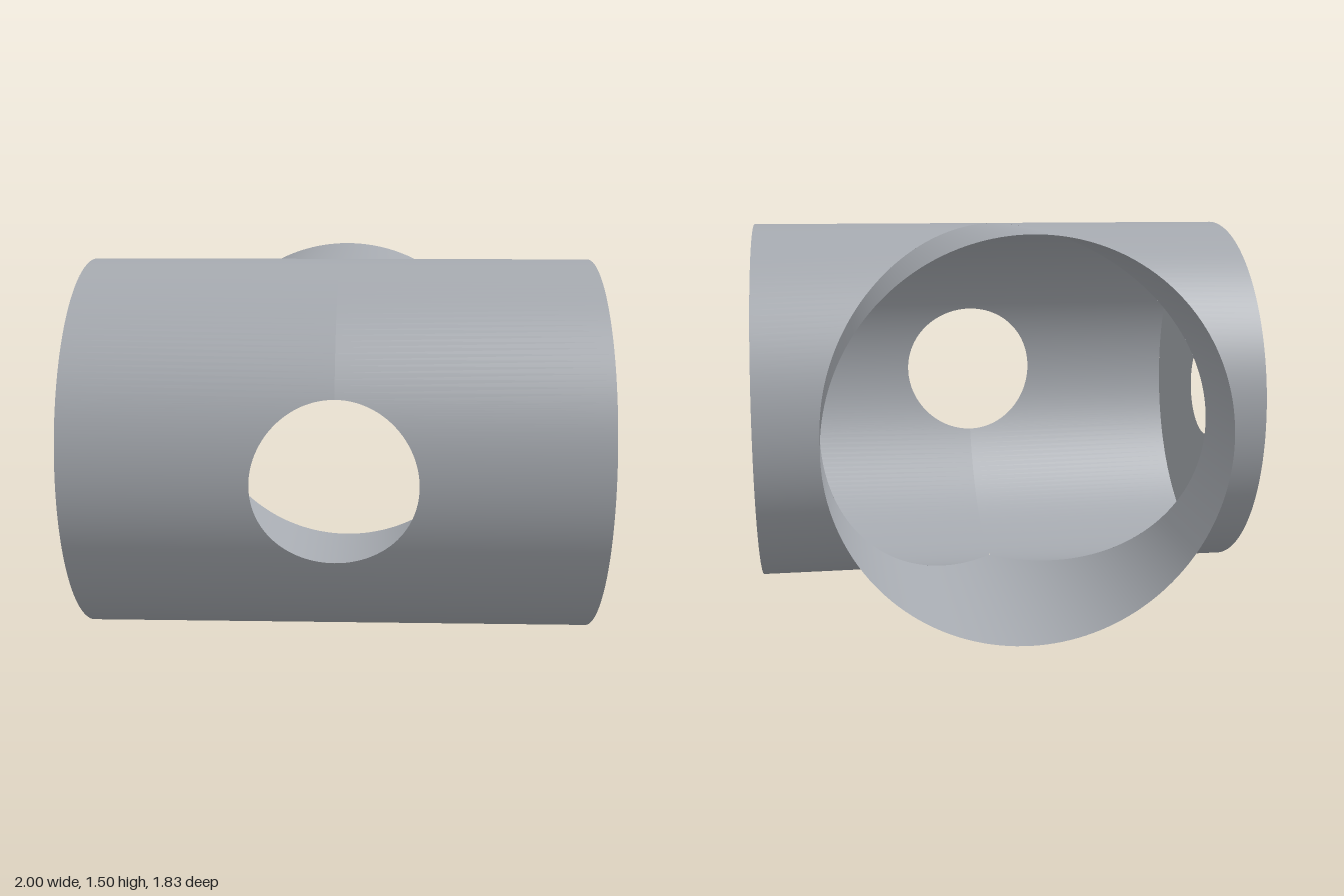
import * as THREE from 'three';

const R = 0.75;          // radius of both pipes
const AXIS_Y = 0.75;
const AXIS_Z = 0.167;    // depth of the main pipe's axis
const PORT = 0.305;      // round port in the front wall
const CAP_HOLE = 0.216;  // bore in each end cap
const RIM = -1.084;      // open end of the branch, measured from the axis

// Ruled strip between two curves; each row gives start point, end point and normal
function ruledStrip(rows, flip = false) {
  const pos = [], nor = [], idx = [];
  rows.forEach(([a, b, n], i) => {
    pos.push(...a, ...b);
    nor.push(...n, ...n);
    if (i === 0) return;
    const p = 2 * i - 2, q = 2 * i;
    if (flip) idx.push(p, q + 1, p + 1, p, q, q + 1);
    else idx.push(p, p + 1, q + 1, p, q + 1, q);
  });
  const g = new THREE.BufferGeometry();
  g.setAttribute('position', new THREE.Float32BufferAttribute(pos, 3));
  g.setAttribute('normal', new THREE.Float32BufferAttribute(nor, 3));
  g.setIndex(idx);
  return g;
}

// Half of the main pipe, cut by the front port and by the branch joint
function mainHalf(side) {
  const angles = [];
  const limit = Math.asin(PORT / R);
  for (let i = 0; i <= 48; i++) {
    const t = -Math.PI / 2 + (Math.PI * i) / 48;
    angles.push(Math.asin((PORT * Math.sin(t)) / R));
  }
  for (let i = 1; i <= 160; i++) {
    angles.push(limit + ((2 * Math.PI - 2 * limit) * i) / 160);
  }
  const rows = angles.map((t) => {
    const y = R * Math.sin(t), z = R * Math.cos(t);
    const inner = z < 0 ? -z : Math.sqrt(Math.max(0, PORT * PORT - y * y));
    return [[side * inner, y, z], [side, y, z], [0, y / R, z / R]];
  });
  return ruledStrip(rows, side < 0);
}

// Branch pipe, mitred against the main pipe
function branch() {
  const rows = [];
  for (let i = 0; i <= 160; i++) {
    const t = (2 * Math.PI * i) / 160;
    const x = R * Math.cos(t), y = R * Math.sin(t);
    rows.push([[x, y, -Math.abs(x)], [x, y, RIM], [x / R, y / R, 0]]);
  }
  return ruledStrip(rows);
}

export function createModel() {
  const model = new THREE.Group();
  model.name = 'pipeTee';
  const grey = new THREE.MeshStandardMaterial({ color: 0xa6aab0, side: THREE.DoubleSide });
  grey.name = 'grey';

  const add = (name, geometry) => {
    const mesh = new THREE.Mesh(geometry, grey);
    mesh.name = name;
    mesh.position.set(0, AXIS_Y, AXIS_Z);
    model.add(mesh);
    return mesh;
  };

  for (const [label, side] of [['left', 1], ['right', -1]]) {
    add(label + 'MainPipe', mainHalf(side));
    // Flat end cap with a round bore
    const cap = add(label + 'EndCap', new THREE.RingGeometry(CAP_HOLE, R, 128));
    cap.position.x = side;
    cap.rotation.y = (side * Math.PI) / 2;
  }
  add('branchPipe', branch());

  return model;
}
